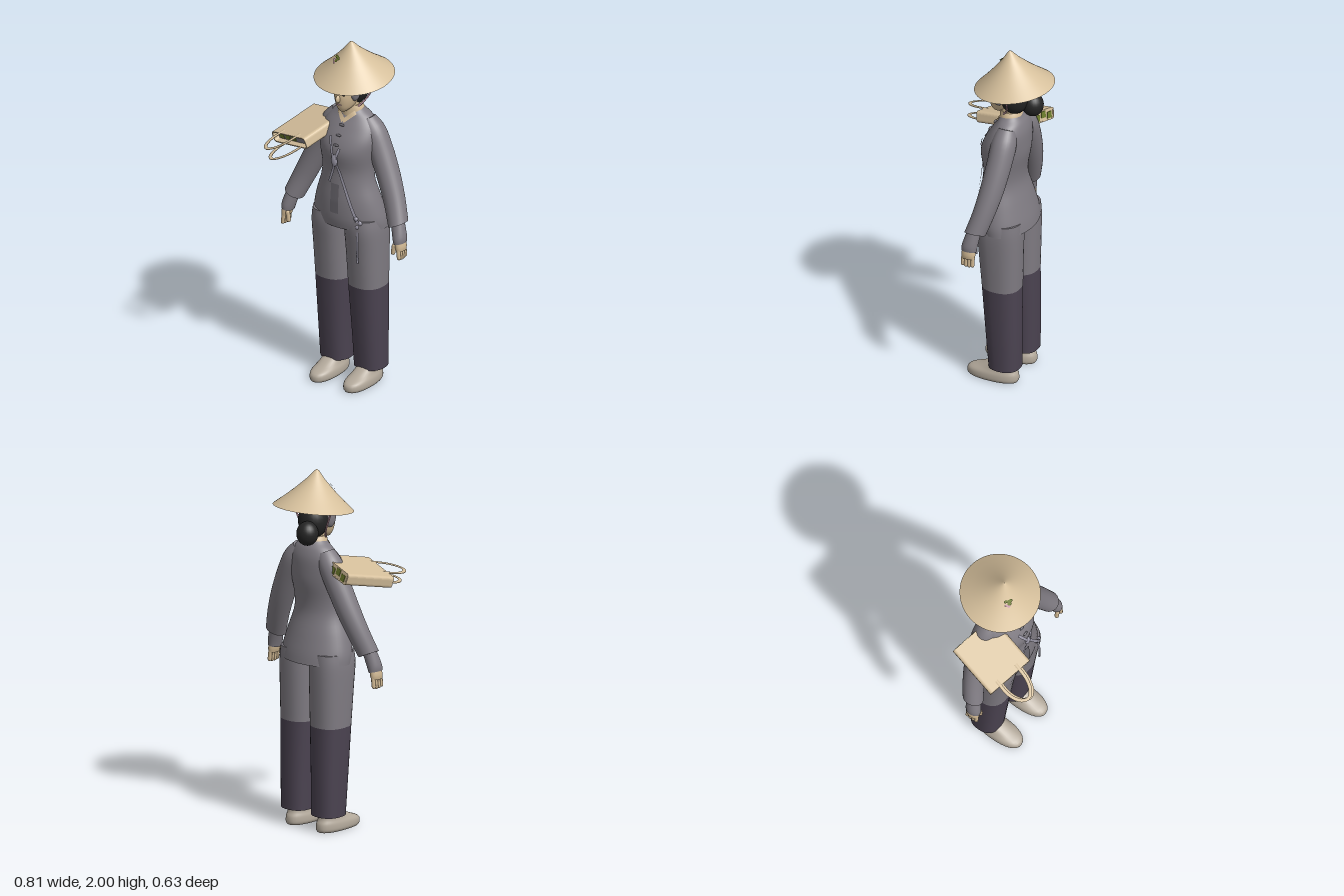
import * as THREE from 'three';

const mat = (name, color, side = THREE.FrontSide) => {
  const m = new THREE.MeshStandardMaterial({ color, side });
  m.name = name;
  return m;
};
const M = {
  straw: mat('straw', 0xd6c09c, THREE.DoubleSide),
  skin: mat('skin', 0xcfb792, THREE.DoubleSide),
  jacket: mat('grey cloth', 0x7f7b82),
  dark: mat('dark trouser cloth', 0x4b4351),
  ribbon: mat('lavender ribbon', 0x9a97a6, THREE.DoubleSide),
  hair: mat('black hair', 0x242424),
  shoe: mat('shoe', 0xb3a99b),
  olive: mat('olive leaf', 0x6b7a2c, THREE.DoubleSide),
  pink: mat('pink', 0xc79aa9, THREE.DoubleSide),
  seam: mat('seam grey', 0x69666d, THREE.DoubleSide),
};

// Smooth value through a list of sections; t runs 0..1
function sectionAt(secs, t) {
  const n = secs.length - 1, f = Math.min(t * n, n - 1e-6), i = Math.floor(f), u = f - i;
  const at = (k) => secs[Math.max(0, Math.min(n, k))];
  return secs[i].map((_, k) => {
    const [a, b, c, d] = [at(i - 1)[k], at(i)[k], at(i + 1)[k], at(i + 2)[k]];
    return b + 0.5 * u * (c - a + u * (2 * a - 5 * b + 4 * c - d + u * (3 * (b - c) + d - a)));
  });
}

// Skin over oval sections [y, cx, cz, rx, rz, tilt], listed upwards; side mirrors x
function loft(secs, side = 1, power = 2, seg = 32) {
  const rows = (secs.length - 1) * 4, pos = [], idx = [];
  const sq = (v) => Math.sign(v) * Math.pow(Math.abs(v), 2 / power);
  const ring = (t) => {
    const [y, cx, cz, rx, rz, tilt = 0] = sectionAt(secs, t);
    for (let j = 0; j < seg; j++) {
      const a = (j / seg) * Math.PI * 2, dx = rx * sq(Math.cos(a));
      pos.push(side * cx + dx, y + tilt * side * dx, cz + rz * sq(Math.sin(a)));
    }
    return [side * cx, y, cz];
  };
  for (let i = 0; i <= rows; i++) ring(i / rows);
  for (let i = 0; i < rows; i++) for (let j = 0; j < seg; j++) {
    const a = i * seg + j, b = i * seg + (j + 1) % seg;
    idx.push(a, a + seg, b, b, a + seg, b + seg);
  }
  for (const t of [0, 1]) {
    const start = pos.length / 3;
    pos.push(...ring(t));
    for (let j = 0; j < seg; j++) {
      const p = start + j, q = start + (j + 1) % seg;
      idx.push(start + seg, t ? q : p, t ? p : q);
    }
  }
  const g = new THREE.BufferGeometry();
  g.setAttribute('position', new THREE.Float32BufferAttribute(pos, 3));
  g.setIndex(idx);
  g.computeVertexNormals();
  return g;
}

function add(parent, name, geo, material, p = [0, 0, 0], s = [1, 1, 1], r = [0, 0, 0]) {
  const m = new THREE.Mesh(geo, material);
  m.name = name;
  m.position.set(...p);
  m.scale.set(...s);
  m.rotation.set(...r);
  parent.add(m);
  return m;
}
const ball = new THREE.SphereGeometry(1, 24, 16);
const tube = (pts, r, seg = 16, sides = 6) => new THREE.TubeGeometry(
  new THREE.CatmullRomCurve3(pts.map((p) => new THREE.Vector3(...p))), seg, r, sides);

const TORSO = [[0.94, -0.215, 0.075, 0.222], [1.0, -0.205, 0.085, 0.219], [1.1, -0.18, 0.085, 0.193],
  [1.2, -0.155, 0.076, 0.16], [1.28, -0.155, 0.072, 0.154], [1.38, -0.172, 0.085, 0.168],
  [1.45, -0.175, 0.066, 0.175], [1.52, -0.172, 0.025, 0.16], [1.57, -0.158, -0.008, 0.122],
  [1.6, -0.14, -0.02, 0.08], [1.62, -0.13, -0.025, 0.058]]
  .map(([y, back, front, rx]) => [y, 0, (back + front) / 2, rx, (front - back) / 2]);

// Depth of the jacket front at x, y
function frontZ(x, y) {
  let i = 0;
  while (i < TORSO.length - 2 && TORSO[i + 1][0] < y) i++;
  const a = TORSO[i], b = TORSO[i + 1], u = Math.max(0, Math.min(1, (y - a[0]) / (b[0] - a[0])));
  const [, , cz, rx, rz] = a.map((v, k) => v + (b[k] - v) * u);
  return cz + rz * Math.sqrt(Math.max(0, 1 - (x / rx) ** 2));
}

// Flat band lying on the jacket front between two points
function band([x0, y0], [x1, y1], w, lift = 0.008) {
  const g = new THREE.PlaneGeometry(1, 1, 2, 16), p = g.attributes.position;
  const L = Math.hypot(x1 - x0, y1 - y0), nx = -(y1 - y0) / L, ny = (x1 - x0) / L;
  for (let i = 0; i < p.count; i++) {
    const u = 0.5 - p.getY(i), v = p.getX(i) * w;
    const x = x0 + (x1 - x0) * u + nx * v, y = y0 + (y1 - y0) * u + ny * v;
    p.setXYZ(i, x, y, frontZ(x, y) + lift);
  }
  g.computeVertexNormals();
  return g;
}

function makeHat() {
  const hat = new THREE.Group();
  hat.name = 'conicalHat';
  const profile = [[0.22, 0], [0.165, 0.046], [0.11, 0.096], [0.05, 0.156], [0.012, 0.203], [0, 0.212]];
  add(hat, 'hatCone', new THREE.LatheGeometry(profile.map((p) => new THREE.Vector2(...p)), 64), M.straw);
  // painted sprig
  const sprig = new THREE.Group();
  sprig.name = 'hatSprig';
  sprig.rotation.y = -0.58;
  const spray = new THREE.Group();
  spray.position.set(0, 0.12, 0.09);
  spray.rotation.x = -0.8;
  sprig.add(spray);
  const dot = new THREE.CircleGeometry(1, 10);
  for (const [x, y, w, h] of [[-0.012, 0.012, 0.014, 0.009], [0.01, 0.01, 0.015, 0.01], [0.004, -0.006, 0.012, 0.012]])
    add(spray, 'leaf', dot, M.olive, [x, y, 0.004], [w, h, 1]);
  for (const [x, y] of [[-0.015, -0.012], [-0.002, -0.022]])
    add(spray, 'blossom', dot, M.pink, [x, y, 0.003], [0.01, 0.008, 1]);
  hat.add(sprig);
  hat.position.set(0, 1.79, -0.093);
  hat.rotation.x = 0.137;
  return hat;
}

function makeBag() {
  const bag = new THREE.Group();
  bag.name = 'bag';
  const rect = (C, w, h, r) => {
    const s = new C();
    s.moveTo(w, h - r).quadraticCurveTo(w, h, w - r, h).lineTo(r - w, h).quadraticCurveTo(-w, h, -w, h - r);
    s.lineTo(-w, r - h).quadraticCurveTo(-w, -h, r - w, -h).lineTo(w - r, -h).quadraticCurveTo(w, -h, w, r - h);
    s.closePath();
    return s;
  };
  const shell = rect(THREE.Shape, 0.14, 0.033, 0.02);
  shell.holes.push(rect(THREE.Path, 0.134, 0.027, 0.016));
  add(bag, 'bagShell', new THREE.ExtrudeGeometry(shell, { depth: 0.31, bevelEnabled: false }), M.straw, [0, 0, -0.155]);
  add(bag, 'bagBase', new THREE.BoxGeometry(0.262, 0.055, 0.006), M.straw, [0, 0, -0.151]);
  add(bag, 'bagLining', new THREE.BoxGeometry(0.262, 0.052, 0.004), M.jacket, [0, 0, 0.12]);
  // leaf patches on the lining, base and underside
  for (let i = 0; i < 5; i++) {
    const x = -0.1 + i * 0.05;
    add(bag, 'baseLeaves', new THREE.BoxGeometry(0.036, 0.036, 0.003), M.olive, [x, (i % 2) * 0.012 - 0.004, -0.156]);
    add(bag, 'undersideLeaves', new THREE.BoxGeometry(0.03, 0.003, 0.05), M.olive, [x, -0.034, -0.12 + (i % 2) * 0.06]);
    if (i < 3) add(bag, 'liningLeaves', new THREE.BoxGeometry(0.035, 0.026, 0.003), M.olive, [x, -0.008, 0.124]);
  }
  for (const s of [1, -1]) {
    const x = s < 0 ? 0.012 : 0, y = s * 0.031;
    const pts = [[-0.068, y, 0.12], [-0.068, y, 0.22], [-0.04, y, 0.285], [0, y, 0.305], [0.035, y, 0.28], [0.06, y, 0.22], [0.068, y, 0.12]]
      .map(([a, b, c]) => [a + x, b / 0.35, c]);
    add(bag, 'bagHandle', tube(pts, 0.011, 24), M.straw, [0, 0, 0], [1, 0.35, 1]);
  }
  bag.position.set(-0.22, 1.455, 0.01);
  bag.rotation.set(0.22, -0.2, 0.2, 'YXZ');
  return bag;
}

export function createModel() {
  const root = new THREE.Group();
  root.name = 'womanWithHat';
  root.add(makeHat(), makeBag());

  // head, hair and face
  add(root, 'head', loft([[1.615, 0, 0.005, 0.02, 0.025], [1.64, 0, -0.014, 0.044, 0.058], [1.68, 0, -0.028, 0.06, 0.082],
    [1.72, 0, -0.037, 0.066, 0.092], [1.76, 0, -0.05, 0.068, 0.09], [1.83, 0, -0.06, 0.05, 0.06]]), M.skin);
  add(root, 'nose', ball, M.skin, [0, 1.698, 0.055], [0.012, 0.022, 0.02]);
  add(root, 'lips', ball, M.pink, [0, 1.662, 0.046], [0.016, 0.005, 0.008]);
  add(root, 'hair', ball, M.hair, [0, 1.72, -0.095], [0.082, 0.1, 0.082]);
  add(root, 'hairBun', ball, M.hair, [-0.04, 1.67, -0.182], [0.06, 0.067, 0.06]);
  add(root, 'neck', loft([[1.54, 0, -0.07, 0.06, 0.06], [1.6, 0, -0.065, 0.05, 0.055], [1.67, 0, -0.055, 0.045, 0.052]]), M.skin);
  add(root, 'neckScarf', loft([[1.58, 0, -0.075, 0.075, 0.062], [1.61, 0, -0.075, 0.068, 0.06], [1.635, 0, -0.07, 0.056, 0.055]]), M.skin);

  // jacket and its front trim
  add(root, 'jacket', loft(TORSO, 1, 2, 48), M.jacket);
  add(root, 'jacketTab', band([-0.003, 1.2], [-0.003, 1.03], 0.052, 0.005), M.seam);
  add(root, 'longSash', band([-0.045, 1.47], [0.135, 1.0], 0.016, 0.012), M.ribbon);
  add(root, 'shortSash', band([0.03, 1.42], [-0.035, 1.21], 0.016, 0.015), M.ribbon);
  add(root, 'sashKnot', ball, M.ribbon, [0, 1.345, frontZ(0, 1.345) + 0.01], [0.02, 0.035, 0.012]);
  for (const [x, y] of [[0.125, 1.02], [0.145, 0.995], [0.13, 0.97]])
    add(root, 'tasselKnot', ball, M.ribbon, [x, y, frontZ(x, y) + 0.008], [0.013, 0.013, 0.01]);
  add(root, 'tassel', tube([[0.133, 0.98, 0.055], [0.135, 0.88, 0.07], [0.137, 0.76, 0.068]], 0.006), M.ribbon);
  for (const y of [1.53, 1.48, 1.43])
    add(root, 'clothButton', ball, M.seam, [0, y, frontZ(0, y) + 0.004], [0.016, 0.007, 0.007]);

  for (const s of [1, -1]) {
    // face, side scarf and chin ribbon
    add(root, 'eye', ball, M.hair, [s * 0.027, 1.722, 0.046], [0.012, 0.003, 0.004]);
    add(root, 'headscarfSide', ball, M.jacket, [s * 0.058, 1.737, -0.022], [0.025, 0.062, 0.037]);
    add(root, 'chinRibbon', tube([[s * 0.15, 1.82, -0.1], [s * 0.125, 1.755, -0.1], [s * 0.09, 1.68, -0.09], [s * 0.05, 1.62, -0.05]], 0.005), M.pink);
    add(root, 'scarfEdge', band([s * 0.055, 1.6], [0, 1.55], 0.022, 0.006), M.skin);

    // arm, glove and hand
    add(root, 'sleeve', loft([[1.02, 0.343, -0.022, 0.052, 0.058, 0.45], [1.13, 0.298, -0.052, 0.056, 0.06, 0.45],
      [1.25, 0.245, -0.074, 0.06, 0.065, 0.42], [1.38, 0.185, -0.088, 0.062, 0.068, 0.42],
      [1.49, 0.128, -0.092, 0.062, 0.068, 0.45], [1.555, 0.085, -0.09, 0.045, 0.05, 0.5]], s), M.jacket);
    add(root, 'glove', loft([[0.925, 0.372, 0, 0.032, 0.043, 0.2], [0.96, 0.366, -0.003, 0.036, 0.044, 0.25],
      [1.05, 0.338, -0.02, 0.035, 0.036, 0.4]], s), M.jacket);
    add(root, 'palm', loft([[0.885, 0.38, 0.002, 0.022, 0.038], [0.91, 0.377, 0.001, 0.027, 0.04], [0.95, 0.37, 0, 0.026, 0.036]], s), M.skin);
    const finger = new THREE.CapsuleGeometry(0.0115, 0.045, 4, 8);
    for (let i = 0; i < 4; i++)
      add(root, 'finger', finger, M.skin, [s * 0.383, 0.868 - (i % 3 ? 0.004 : 0), 0.03 - i * 0.019], [1, 1, 1], [0, 0, s * 0.12]);
    add(root, 'thumb', finger, M.skin, [s * 0.35, 0.89, 0.03], [1.1, 1, 1.1], [0, 0, s * -0.15]);

    // trouser leg in two cloths, and shoe
    add(root, 'trouserUpper', loft([[0.59, 0.109, -0.073, 0.103, 0.108], [0.8, 0.109, -0.066, 0.108, 0.12],
      [0.93, 0.108, -0.06, 0.11, 0.128], [1.0, 0.105, -0.06, 0.105, 0.125]], s, 2.4), M.jacket);
    add(root, 'trouserLower', loft([[0.09, 0.112, -0.093, 0.088, 0.088], [0.3, 0.112, -0.085, 0.093, 0.097],
      [0.59, 0.109, -0.073, 0.103, 0.108]], s, 2.4), M.dark);
    add(root, 'shoe', loft([[0, 0.112, -0.02, 0.058, 0.143], [0.015, 0.112, -0.02, 0.067, 0.15], [0.045, 0.112, -0.024, 0.066, 0.144],
      [0.072, 0.112, -0.05, 0.056, 0.105], [0.11, 0.112, -0.085, 0.048, 0.065]], s, 2.3), M.shoe);
  }
  return root;
}
